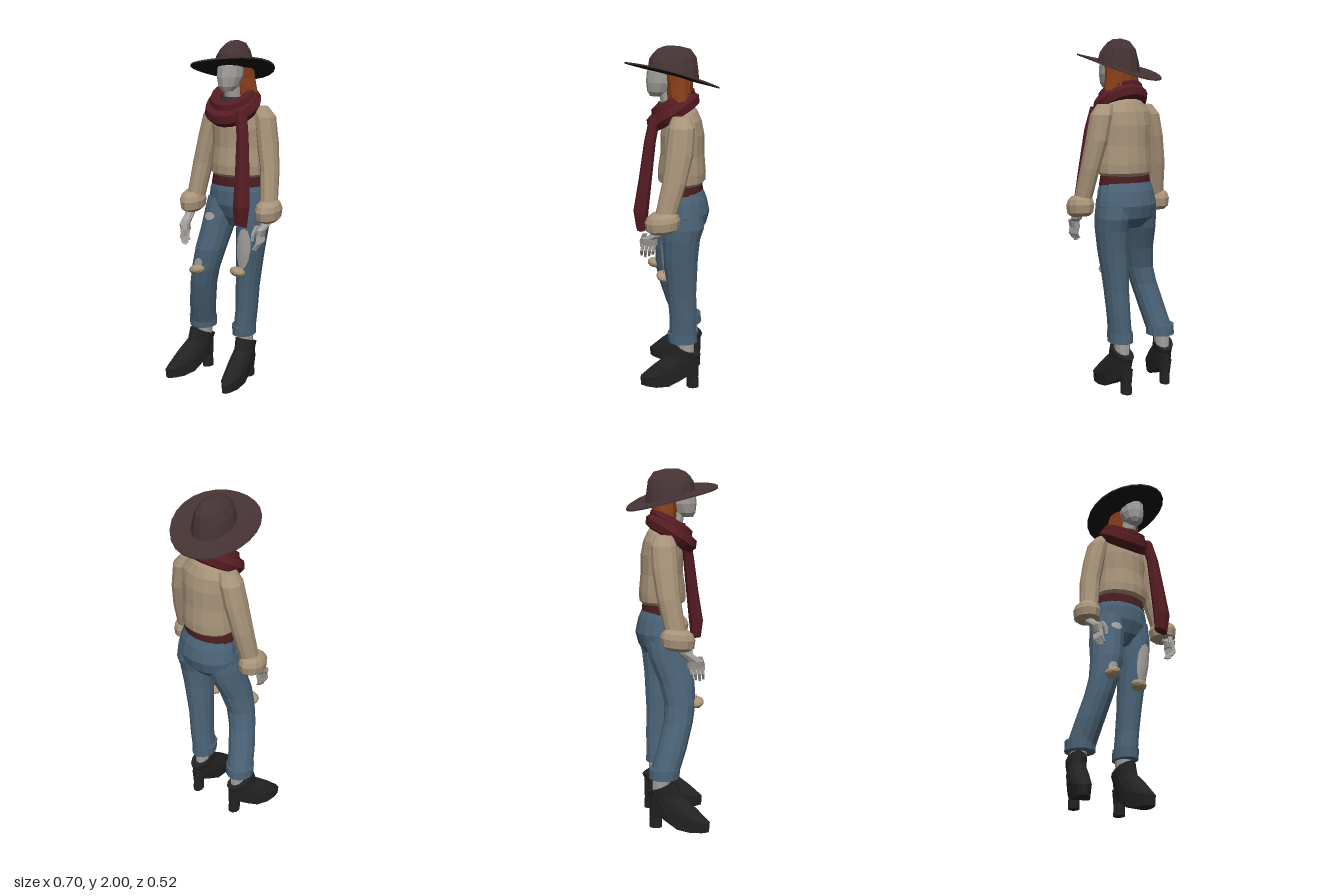
import * as THREE from 'three';

const colour = (name, color) => Object.assign(new THREE.MeshStandardMaterial({ color }), { name });

// Flat-shaded mesh from any geometry
function flat(geo, mat, name) {
  const g = geo.index ? geo.toNonIndexed() : geo;
  g.computeVertexNormals();
  const m = new THREE.Mesh(g, mat);
  m.name = name;
  return m;
}

function fromTriangles(verts, idx) {
  const g = new THREE.BufferGeometry();
  g.setAttribute('position', new THREE.Float32BufferAttribute(verts.flatMap(v => [v.x, v.y, v.z]), 3));
  g.setIndex(idx);
  return g;
}

// Point on a ring [x, y, z, radiusX, radiusZ, slope along z, slope along x]
function ringPoint([x, y, z, rx, rz, kz = 0, kx = 0], a) {
  const dx = rx * Math.cos(a), dz = rz * Math.sin(a);
  return new THREE.Vector3(x + dx, y + kz * dz + kx * dx, z + dz);
}

// Skin a stack of rings, closing the ends if wanted
function loft(name, mat, rings, { n = 12, caps = true, deform } = {}) {
  const list = rings[0][1] > rings[rings.length - 1][1] ? [...rings].reverse() : rings;
  const verts = [], idx = [];
  list.forEach(r => { for (let i = 0; i < n; i++) verts.push(ringPoint(r, i / n * Math.PI * 2)); });
  const top = (list.length - 1) * n;
  for (let j = 0; j < top; j += n) for (let i = 0; i < n; i++) {
    const a = j + i, b = j + (i + 1) % n;
    idx.push(a, a + n, b + n, a, b + n, b);
  }
  if (caps) {
    const c = verts.length;
    for (const r of [list[0], list[list.length - 1]]) verts.push(new THREE.Vector3(r[0], r[1], r[2]));
    for (let i = 0; i < n; i++) {
      const k = (i + 1) % n;
      idx.push(c, i, k, c + 1, top + k, top + i);
    }
  }
  if (deform) verts.forEach(deform);
  return flat(fromTriangles(verts, idx), mat, name);
}

// Thin oval laid on the surface of a ring stack (rings listed from top to bottom)
function patch(name, mat, rings, y, angle, halfY, halfAngle) {
  const at = (py, a) => {
    let j = 0;
    while (j < rings.length - 2 && rings[j + 1][1] > py) j++;
    const p = rings[j], q = rings[j + 1], t = (p[1] - py) / (p[1] - q[1]);
    const r = p.map((v, i) => v + (q[i] - v) * t);
    r[3] += 0.007; r[4] += 0.007;
    return ringPoint(r, a);
  };
  const n = 12, verts = [at(y, angle)], idx = [];
  for (const t of [0.5, 1]) for (let i = 0; i < n; i++) {
    const th = i / n * Math.PI * 2;
    verts.push(at(y + halfY * t * Math.sin(th), angle - halfAngle * t * Math.cos(th)));
  }
  for (let i = 0; i < n; i++) {
    const a = 1 + i, b = 1 + (i + 1) % n;
    idx.push(0, a, b, a, a + n, b + n, a, b + n, b);
  }
  return flat(fromTriangles(verts, idx), mat, name);
}

export function createModel() {
  const skin = colour('skin', 0xa5a29e), hair = colour('hair', 0x873f19), felt = colour('hat felt', 0x453334);
  const lining = colour('hat lining', 0x151111), wool = colour('scarf wool', 0x551c22), tan = colour('tan knit', 0xa9947a);
  const denim = colour('denim', 0x4b6478), leather = colour('boot leather', 0x232323), belt = colour('belt', 0x4a1d1f);
  const shirt = colour('shirt', 0x3a3837);
  const model = new THREE.Group();
  model.name = 'figure';
  const add = (...m) => model.add(...m);

  // Hat: tilted, curled brim and a pinched crown
  const curl = v => {
    const dx = v.x - 0.043;
    v.y += 0.25 * v.z + 0.14 * dx + 0.4 * dx * dx;
  };
  const brim = (y, s) => [0.043, y, 0, 0.222 * s, 0.258 * s];
  add(loft('hatBrim', felt, [brim(1.839, 1), brim(1.847, 1), brim(1.848, 0.75), brim(1.849, 0.4)], { n: 24, caps: false, deform: curl }));
  add(loft('hatBrimUnderside', lining, [brim(1.838, 0.2), brim(1.8385, 0.7), brim(1.839, 1)], { n: 24, caps: false, deform: curl }));
  add(loft('hatCrown', felt, [
    [0.05, 1.852, -0.01, 0.105, 0.14, 0.25, 0.14], [0.05, 1.905, -0.01, 0.09, 0.134, 0.2, 0.08],
    [0.052, 1.95, -0.015, 0.067, 0.12, 0.08], [0.055, 1.985, -0.012, 0.038, 0.09], [0.055, 2, 0, 0.014, 0.04]], { n: 14 }));

  // Head, neck and hair
  add(loft('head', skin, [
    [0.055, 1.735, 0.085, 0.03, 0.035], [0.055, 1.76, 0.068, 0.052, 0.066], [0.055, 1.81, 0.048, 0.068, 0.092],
    [0.055, 1.87, 0.035, 0.07, 0.1], [0.055, 1.9, 0.02, 0.06, 0.08]]));
  add(loft('neck', skin, [[0.05, 1.62, 0, 0.05, 0.05], [0.055, 1.79, 0.03, 0.042, 0.045]]));
  add(loft('hair', hair, [
    [0.05, 1.64, -0.05, 0.1, 0.06], [0.055, 1.72, -0.045, 0.115, 0.07], [0.055, 1.8, -0.04, 0.098, 0.075],
    [0.055, 1.87, -0.03, 0.09, 0.085]]));
  add(loft('shirtCollar', shirt, [[0.05, 1.58, 0, 0.09, 0.08], [0.05, 1.7, 0.015, 0.06, 0.062]]));

  // Scarf: two tilted wraps and a hanging tail
  const wrap = (name, y, rx, rz, tilt, radius) => {
    const pts = Array.from({ length: 12 }, (_, i) => {
      const a = i / 12 * Math.PI * 2;
      return new THREE.Vector3(0.04 + rx * Math.cos(a), y - tilt * Math.sin(a), -0.005 + rz * Math.sin(a));
    });
    return flat(new THREE.TubeGeometry(new THREE.CatmullRomCurve3(pts, true), 20, radius, 7, true), wool, name);
  };
  add(wrap('scarfLowerWrap', 1.65, 0.113, 0.1, 0.065, 0.048), wrap('scarfUpperWrap', 1.7, 0.098, 0.088, 0.055, 0.034));
  add(loft('scarfTail', wool, [
    [0.14, 1.63, 0.085, 0.035, 0.03], [0.165, 1.5, 0.11, 0.035, 0.032], [0.178, 1.3, 0.135, 0.044, 0.036],
    [0.186, 1.12, 0.16, 0.05, 0.042], [0.18, 1.02, 0.158, 0.04, 0.03, 0, -0.3]], { n: 8 }));

  // Sweater body and belt
  add(loft('sweater', tan, [
    [0.045, 1.245, -0.06, 0.14, 0.105], [0.048, 1.27, -0.055, 0.162, 0.132], [0.05, 1.32, -0.055, 0.162, 0.134],
    [0.05, 1.42, -0.058, 0.152, 0.122], [0.05, 1.53, -0.058, 0.158, 0.12], [0.05, 1.605, -0.058, 0.155, 0.105],
    [0.05, 1.655, -0.055, 0.115, 0.085], [0.05, 1.7, -0.05, 0.06, 0.055]], { n: 16 }));
  add(loft('belt', belt, [[0.045, 1.2, -0.058, 0.16, 0.118], [0.045, 1.255, -0.058, 0.15, 0.112]], { n: 16 }));

  // Arms: sleeve, rolled cuff and hand
  const arms = {
    left: { s: 1, sleeve: [[0.18, 1.645, -0.06, 0.045, 0.05], [0.21, 1.59, -0.065, 0.058, 0.072], [0.235, 1.45, -0.055, 0.056, 0.075],
      [0.262, 1.3, -0.03, 0.05, 0.066], [0.282, 1.12, 0.015, 0.046, 0.058]], cuff: [0.288, 1.083, 0.032], fingers: [0.258, 0.875, 0.12] },
    right: { s: -1, sleeve: [[-0.085, 1.645, -0.06, 0.045, 0.05], [-0.115, 1.59, -0.065, 0.058, 0.072], [-0.145, 1.47, -0.06, 0.058, 0.073],
      [-0.178, 1.31, -0.045, 0.057, 0.066], [-0.205, 1.12, -0.01, 0.052, 0.058]], cuff: [-0.222, 1.083, 0], fingers: [-0.198, 0.845, 0.115] },
  };
  for (const [side, { s, sleeve, cuff: [x, y, z], fingers: [fx, fy, fz] }] of Object.entries(arms)) {
    add(loft(side + 'Sleeve', tan, sleeve));
    add(loft(side + 'Cuff', tan, [[-0.055, 0.045, 0.06], [-0.035, 0.066, 0.09], [0.01, 0.071, 0.097], [0.04, 0.062, 0.085], [0.06, 0.044, 0.06]]
      .map(([dy, rx, rz]) => [x, y + dy, z, rx, rz, -0.1])));
    const hand = new THREE.Group();
    hand.name = side + 'Hand';
    const ky = fy + 0.09, kz = fz - 0.015;
    hand.add(loft('palm', skin, [[x, 1.06, z + 0.01, 0.03, 0.035], [x, 1.01, z + 0.04, 0.027, 0.035], [x - s * 0.005, ky + 0.03, kz, 0.025, 0.045], [x - s * 0.01, ky - 0.01, kz, 0.02, 0.044]], { n: 8 }));
    for (let i = 0; i < 4; i++) {
      const o = (i - 1.5) * 0.021, drop = Math.abs(i - 1.8) * 0.01;
      hand.add(loft('finger', skin, [[x - s * 0.01, ky, kz + o, 0.013, 0.011], [x - s * 0.008, ky - 0.045, kz + o + 0.01, 0.012, 0.01],
        [fx, fy + drop, fz + o, 0.008, 0.007]], { n: 6 }));
    }
    hand.add(loft('thumb', skin, [[x - s * 0.02, ky + 0.05, kz + 0.025, 0.015, 0.016], [x - s * 0.035, ky + 0.005, kz + 0.045, 0.012, 0.012],
      [x - s * 0.035, ky - 0.03, kz + 0.048, 0.008, 0.008]], { n: 6 }));
    add(hand);
  }

  // Jeans: seat, legs and turned hems
  add(loft('jeansSeat', denim, [
    [0.045, 1.235, -0.058, 0.148, 0.108], [0.045, 1.17, -0.065, 0.17, 0.13], [0.045, 1.09, -0.074, 0.186, 0.138],
    [0.045, 1.02, -0.078, 0.175, 0.116], [0.04, 0.96, -0.07, 0.11, 0.07]], { n: 16 }));
  const rightLeg = [[-0.045, 1.12, -0.06, 0.09, 0.11], [-0.058, 1.02, -0.045, 0.095, 0.117], [-0.07, 0.95, -0.03, 0.092, 0.115],
    [-0.095, 0.82, 0.01, 0.088, 0.102], [-0.122, 0.7, 0.025, 0.081, 0.087], [-0.145, 0.6, 0.013, 0.078, 0.083],
    [-0.178, 0.45, -0.028, 0.078, 0.083], [-0.203, 0.31, -0.075, 0.077, 0.082]];
  const leftLeg = [[0.135, 1.12, -0.07, 0.09, 0.11], [0.142, 1.02, -0.072, 0.093, 0.118], [0.14, 0.95, -0.06, 0.09, 0.108],
    [0.13, 0.82, -0.055, 0.08, 0.1], [0.118, 0.7, -0.06, 0.073, 0.09], [0.11, 0.6, -0.062, 0.067, 0.084],
    [0.1, 0.45, -0.07, 0.062, 0.08], [0.086, 0.31, -0.067, 0.062, 0.081]];
  const front = Math.PI / 2;
  for (const [side, leg] of [['left', leftLeg], ['right', rightLeg]]) {
    const [hx, , hz, hrx, hrz] = leg[leg.length - 1];
    add(loft(side + 'JeansLeg', denim, leg, { n: 14 }));
    add(loft(side + 'Hem', denim, [[hx, 0.295, hz, hrx + 0.005, hrz + 0.005], [hx, 0.352, hz + 0.004, hrx + 0.006, hrz + 0.006]], { n: 14 }));
    add(loft(side + 'Ankle', skin, [[hx, 0.2, hz - 0.02, 0.038, 0.048], [hx, 0.31, hz - 0.015, 0.045, 0.052]], { n: 10 }));
  }

  // Rips in the denim and frayed knee flaps
  add(patch('rightThighRip', skin, rightLeg, 1.02, front + 0.1, 0.023, 0.34));
  add(patch('rightKneeRip', skin, rightLeg, 0.745, front + 0.1, 0.03, 0.3));
  add(patch('leftThighRip', skin, leftLeg, 0.845, front - 0.05, 0.125, 0.5));
  for (const [name, x, z, tilt] of [['rightKneeFlap', -0.125, 0.12, 0.2], ['leftKneeFlap', 0.1, 0.045, -0.15]]) {
    const flap = flat(new THREE.IcosahedronGeometry(1, 1), tan, name);
    flap.scale.set(0.048, 0.03, 0.042);
    flap.position.set(x, 0.705, z);
    flap.rotation.set(-0.3, 0, tilt);
    add(flap);
  }

  // Heeled ankle boots
  for (const [name, x, z, turn] of [['leftBoot', 0.088, 0, 0], ['rightBoot', -0.25, -0.005, -0.38]]) {
    const boot = new THREE.Group();
    boot.name = name;
    boot.add(loft('bootUpper', leather, [
      [0, 0.015, 0.012, 0.05, 0.174, -0.6], [0, 0.1, 0.012, 0.058, 0.178, -0.27], [0, 0.15, -0.028, 0.056, 0.138, -0.15],
      [0, 0.195, -0.072, 0.052, 0.092, 0.1], [0, 0.245, -0.088, 0.056, 0.087, 0.4]],
    { n: 14, deform: v => { v.y = Math.max(v.y, 0.002); } }));
    boot.add(loft('bootHeel', leather, [[0, 0, -0.128, 0.03, 0.037], [0, 0.06, -0.126, 0.03, 0.036], [0, 0.14, -0.118, 0.043, 0.046]], { n: 10 }));
    boot.position.set(x, 0, z);
    boot.rotation.y = turn;
    add(boot);
  }
  return model;
}
